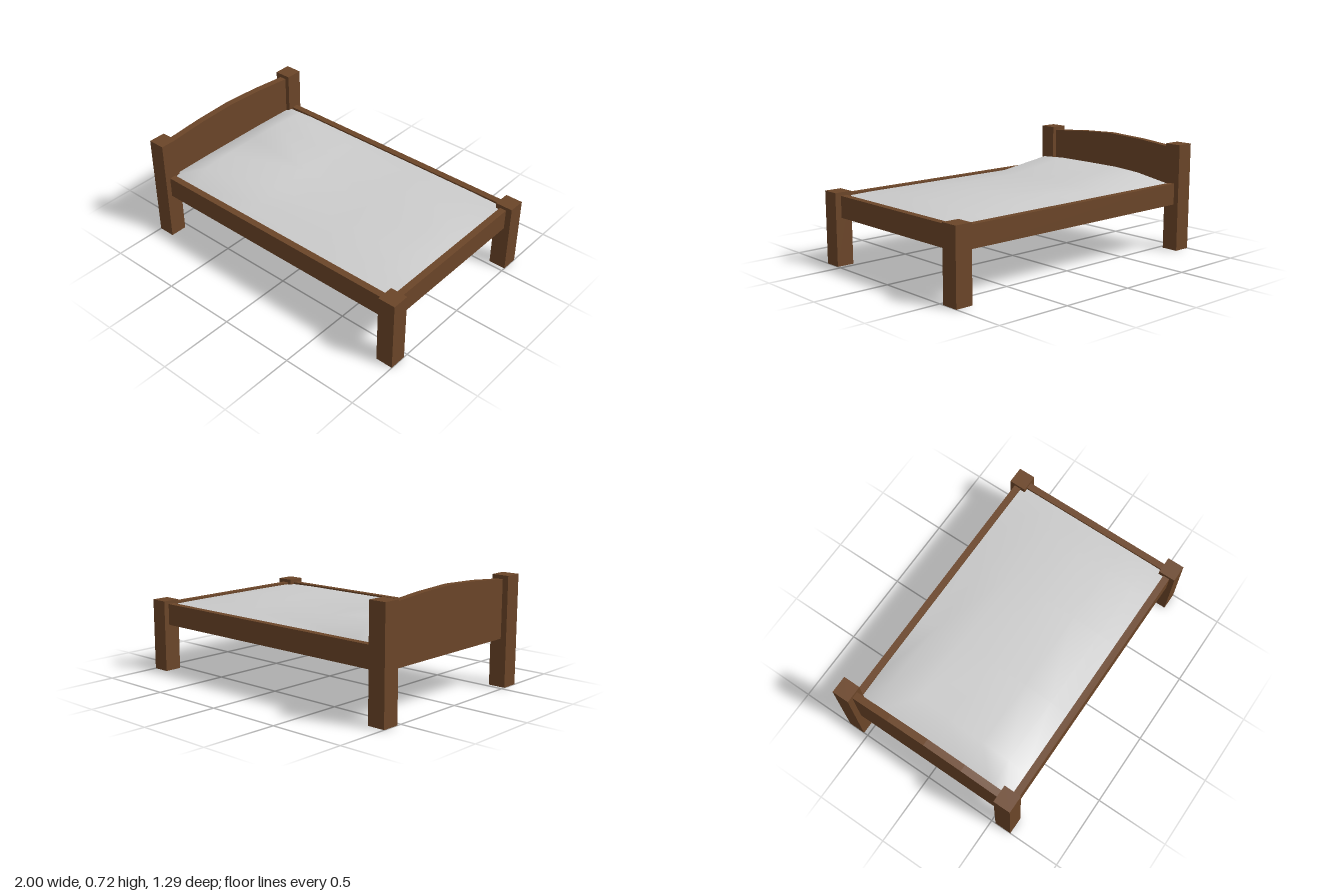
import * as THREE from 'three';

const wood = new THREE.MeshStandardMaterial({ color: 0x6b4528 });
const cloth = new THREE.MeshStandardMaterial({ color: 0xcccccc, side: THREE.DoubleSide });

function box(name, x0, x1, y0, y1, z0, z1) {
  const mesh = new THREE.Mesh(new THREE.BoxGeometry(x1 - x0, y1 - y0, z1 - z0), wood);
  mesh.position.set((x0 + x1) / 2, (y0 + y1) / 2, (z0 + z1) / 2);
  mesh.name = name;
  return mesh;
}

// Headboard with a shallow faceted arch, extruded across its thickness
function makeHeadboard() {
  const outline = [[-0.53, 0.31], [0.53, 0.31], [0.53, 0.685], [0.27, 0.708], [0, 0.72], [-0.27, 0.708], [-0.53, 0.685]];
  const shape = new THREE.Shape(outline.map(([z, y]) => new THREE.Vector2(z, y)));
  const geometry = new THREE.ExtrudeGeometry(shape, { depth: 0.046, bevelEnabled: false });
  geometry.rotateY(-Math.PI / 2);
  const mesh = new THREE.Mesh(geometry, wood);
  mesh.position.x = -0.915;
  mesh.name = 'headboard';
  return mesh;
}

// Soft bedding sheet: cross-sections along x, raised over the pillow end
function makeBedding() {
  const zs = [-0.565, -0.44, -0.25, 0, 0.25, 0.44, 0.565];
  // x, then heights at the edge, shoulder, mid and centre
  const rows = [
    [-0.915, 0.43, 0.433, 0.436, 0.436],
    [-0.71, 0.44, 0.525, 0.537, 0.538],
    [-0.25, 0.44, 0.46, 0.478, 0.482],
    [0.3, 0.44, 0.458, 0.477, 0.481],
    [0.71, 0.44, 0.454, 0.467, 0.47],
    [0.915, 0.435, 0.437, 0.438, 0.438],
  ];
  const positions = [], index = [], n = zs.length;
  rows.forEach(([x, ...heights], i) => zs.forEach((z, j) => {
    positions.push(x, heights[Math.min(j, n - 1 - j)], z);
    if (i && j) {
      const d = i * n + j, c = d - 1, b = d - n, a = b - 1;
      // Mirror the diagonal on either side of the centre line
      if (z > 0) index.push(a, b, c, b, d, c);
      else index.push(a, b, d, a, d, c);
    }
  }));
  const geometry = new THREE.BufferGeometry();
  geometry.setAttribute('position', new THREE.Float32BufferAttribute(positions, 3));
  geometry.setIndex(index);
  geometry.computeVertexNormals();
  const mesh = new THREE.Mesh(geometry, cloth);
  mesh.name = 'bedding';
  return mesh;
}

export function createModel() {
  const bed = new THREE.Group();
  bed.name = 'bed';

  // Posts and long side rails, mirrored front to back
  for (const [side, s] of [['front', 1], ['back', -1]]) {
    const span = (a, b) => (s > 0 ? [a, b] : [-b, -a]);
    bed.add(
      box(side + 'HeadPost', -1, -0.885, 0, 0.71, ...span(0.53, 0.645)),
      box(side + 'FootPost', 0.885, 1, 0, 0.472, ...span(0.53, 0.645)),
      box(side + 'SideRail', -0.885, 0.885, 0.31, 0.45, ...span(0.565, 0.61)),
    );
  }

  bed.add(box('footRail', 0.915, 0.96, 0.31, 0.45, -0.53, 0.53));
  bed.add(makeHeadboard(), makeBedding());
  return bed;
}
